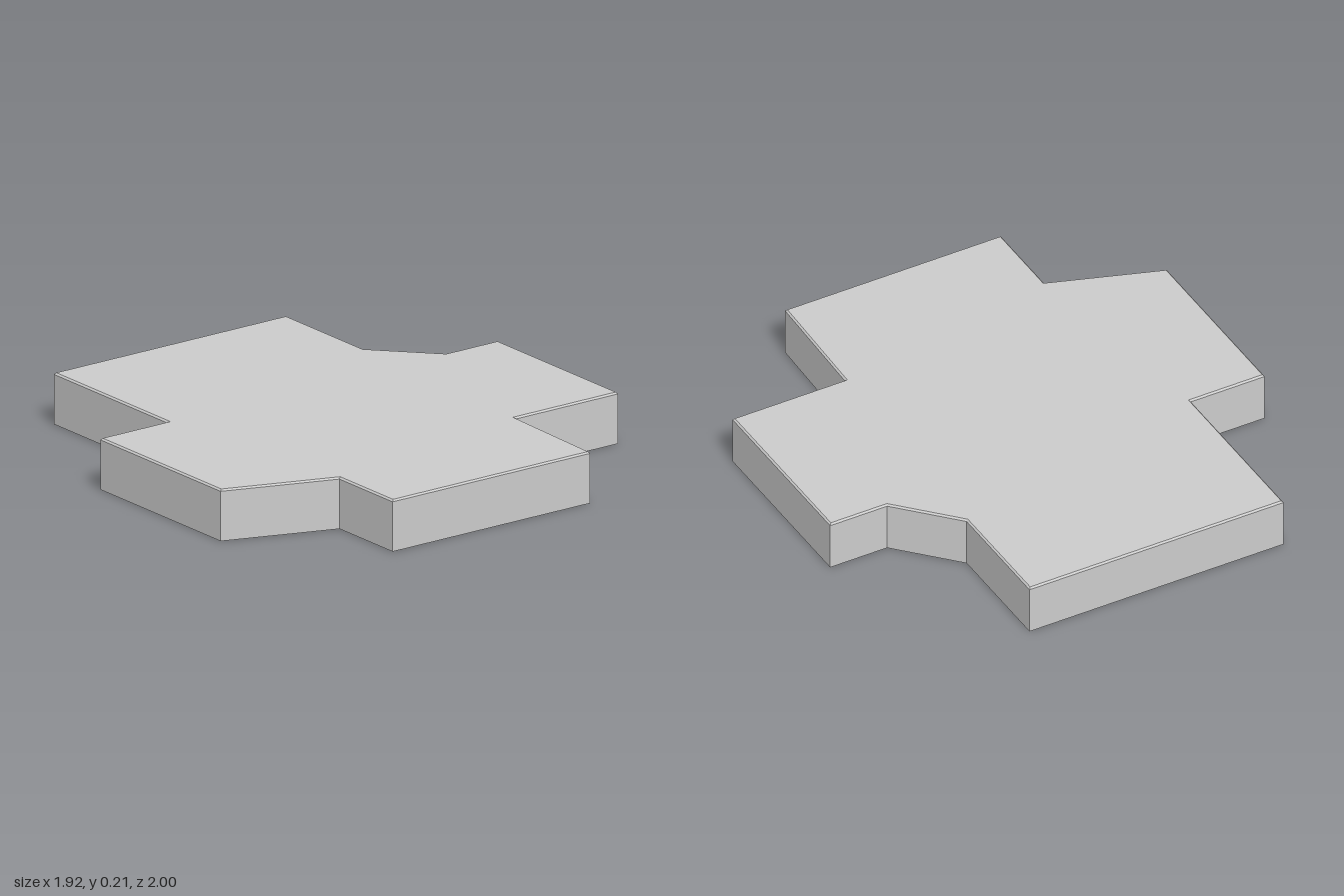
import * as THREE from 'three';

const HEIGHT = 0.21;
const BEVEL = 0.007;

// Plan outline as (x, z), running clockwise seen from above
const OUTLINE = [
  [-0.635, -1], [0.49, -1], [0.49, -0.505], [0.71, -0.27], [0.962, -0.27],
  [0.962, 0.5], [0.464, 0.5], [0.448, 1], [-0.508, 1], [-0.508, 0.66],
  [-0.962, 0.5], [-0.962, -0.27], [-0.635, -0.27],
].map(([x, z]) => new THREE.Vector2(x, z));

// Outline moved inward by d with mitred corners
function inset(points, d) {
  const n = points.length;
  const inward = points.map((p, i) => {
    const e = points[(i + 1) % n].clone().sub(p).normalize();
    return new THREE.Vector2(-e.y, e.x);
  });
  return points.map((p, i) => {
    const a = inward[(i + n - 1) % n], b = inward[i];
    return p.clone().addScaledVector(a.clone().add(b), d / (1 + a.dot(b)));
  });
}

// Flat-faced band between two outlines at different heights
function band(low, y0, high, y1) {
  const pos = [];
  low.forEach((a, i) => {
    const j = (i + 1) % low.length;
    const b = low[j], c = high[j], d = high[i];
    pos.push(a.x, y0, a.y, d.x, y1, d.y, c.x, y1, c.y);
    pos.push(a.x, y0, a.y, c.x, y1, c.y, b.x, y0, b.y);
  });
  const g = new THREE.BufferGeometry();
  g.setAttribute('position', new THREE.Float32BufferAttribute(pos, 3));
  g.computeVertexNormals();
  return g;
}

export function createModel() {
  const model = new THREE.Group();
  model.name = 'openSlab';
  const material = new THREE.MeshStandardMaterial({ color: 0xcccccc, side: THREE.DoubleSide });
  const add = (name, geometry) => {
    const mesh = new THREE.Mesh(geometry, material);
    mesh.name = name;
    model.add(mesh);
  };

  const rim = inset(OUTLINE, BEVEL);

  // Side walls, open underneath
  add('sideWalls', band(OUTLINE, 0, OUTLINE, HEIGHT - BEVEL));

  // Narrow chamfer around the top edge
  add('topChamfer', band(OUTLINE, HEIGHT - BEVEL, rim, HEIGHT));

  // Flat top
  const top = new THREE.ShapeGeometry(
    new THREE.Shape(rim.map((p) => new THREE.Vector2(p.x, -p.y))));
  top.rotateX(-Math.PI / 2).translate(0, HEIGHT, 0);
  add('topPlate', top);

  return model;
}
